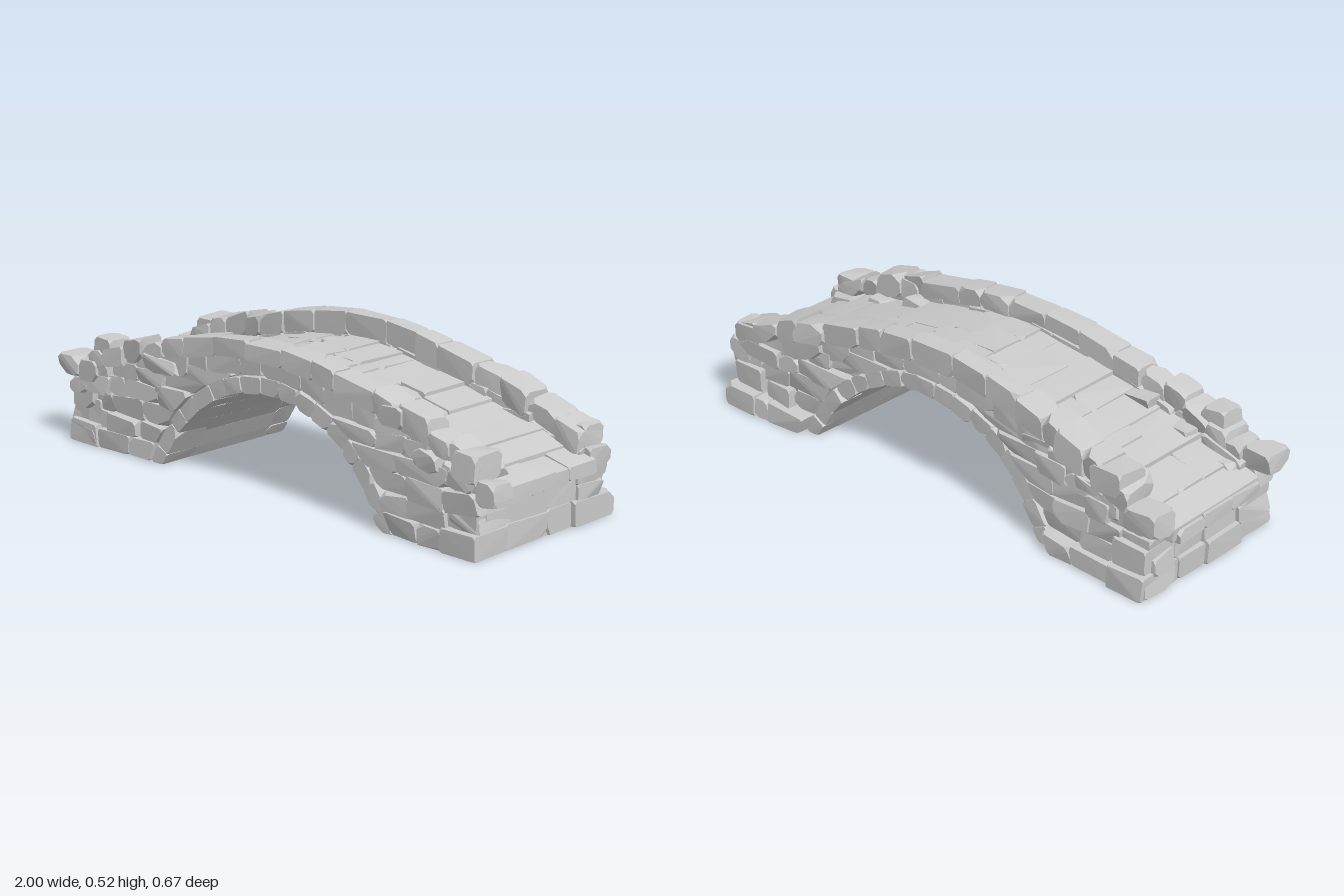
import * as THREE from 'three';
import { mergeGeometries } from 'three/addons/utils/BufferGeometryUtils.js';
import { ConvexGeometry } from 'three/addons/geometries/ConvexGeometry.js';

// Arch circle: centre, inner and outer radius
const CX = 0.03, CY = -0.205, RI = 0.54, RO = 0.6;

let seed = 7;
const rand = () => {
  seed = (seed * 16807) % 2147483647;
  return seed / 2147483647;
};
const jitter = (a) => (rand() - 0.5) * 2 * a;
const { clamp, smoothstep } = THREE.MathUtils;

// Walking surface height, its inverse, the arch's outer curve and the two wall planes
const deckY = (x) => 0.437 - 0.227 * Math.pow(Math.abs(x) / 0.97, 1.6);
const deckX = (y) => 0.97 * Math.pow(Math.max(0, 0.437 - y) / 0.227, 1 / 1.6);
const extradosX = (y) => Math.sqrt(Math.max(0, RO * RO - (y - CY) ** 2));
const extradosY = (x) => CY + Math.sqrt(Math.max(0, RO * RO - (x - CX) ** 2));
const wallZ = (s, x) => {
  const t = smoothstep(Math.abs(x), 0.25, 0.75);
  return s > 0 ? 0.293 + 0.02 * t : -(0.243 + 0.035 * t);
};

// A rough stone: a four-cornered xy outline swept from z0 to z1, every corner chipped
function stone(quad, z0, z1, chip = 0.008, rough = 0.004) {
  const corners = [z0, z1].map((z) => quad.map(([x, y]) =>
    new THREE.Vector3(x + jitter(rough), y + jitter(rough), z + jitter(rough))));
  const points = [];
  for (let k = 0; k < 2; k++) {
    for (let i = 0; i < 4; i++) {
      const c = corners[k][i];
      const big = rand() < 0.15 ? 3 : 1;
      for (const n of [corners[k][(i + 1) % 4], corners[k][(i + 3) % 4], corners[1 - k][i]]) {
        const len = c.distanceTo(n);
        const cut = Math.min(chip * big * (0.5 + rand()), len * 0.4);
        const p = c.clone().lerp(n, cut / len);
        points.push(p.set(clamp(p.x, -1, 1), Math.max(0, p.y), clamp(p.z, -0.336, 0.336)));
      }
    }
  }
  return new ConvexGeometry(points);
}
const rect = (x0, x1, y0, y1) => [[x0, y0], [x1, y0], [x1, y1], [x0, y1]];

// Uneven divisions of a length into pieces of about the given size
function splits(a, b, size, uneven = 0.25) {
  const n = Math.max(1, Math.round(Math.abs(b - a) / size));
  return Array.from({ length: n + 1 }, (_, i) =>
    a + ((b - a) * (i + (i > 0 && i < n ? jitter(uneven) : 0))) / n);
}

// Solid core behind the stones
function core() {
  const s = new THREE.Shape();
  const r = RI + 0.012, a = Math.acos(-CY / r);
  s.moveTo(-0.92, 0);
  for (let i = 0; i <= 24; i++) {
    const x = -0.92 + (1.85 * i) / 24;
    s.lineTo(x, deckY(x) - 0.03);
  }
  s.lineTo(0.93, 0);
  for (let i = 0; i <= 24; i++) {
    const t = a - (2 * a * i) / 24;
    s.lineTo(CX + r * Math.sin(t), Math.max(0, CY + r * Math.cos(t)));
  }
  const g = new THREE.ExtrudeGeometry(s, { depth: 0.49, bevelEnabled: false });
  return g.translate(0, 0, -0.22);
}

// One ring of wedge stones; outerZ gives the outer face from a stone's x
function archRing(out, n, r0, r1, z0, outerZ, chip) {
  const edge = (70 * Math.PI) / 180;
  const at = (r, t) => [CX + r * Math.sin(t), Math.max(0, CY + r * Math.cos(t))];
  const cuts = splits(-edge, edge, (2 * edge) / n, 0.15);
  for (let i = 0; i < n; i++) {
    const [a, b] = [cuts[i], cuts[i + 1]];
    const z1 = outerZ(at(r1, (a + b) / 2)[0]);
    out.push(stone([at(r0, a), at(r0, b), at(r1, b), at(r1, a)], z0, z1, chip, chip / 4));
  }
}

export function createModel() {
  const group = new THREE.Group();
  const material = new THREE.MeshStandardMaterial({ color: 0xcccccc, flatShading: true });
  const add = (name, geometries) => {
    const mesh = new THREE.Mesh(mergeGeometries(geometries), material);
    mesh.name = name;
    group.add(mesh);
  };
  add('core', [core()]);

  // Face voussoirs and the vault lining between them
  const voussoirs = [], lining = [];
  for (const s of [1, -1]) {
    archRing(voussoirs, 17, RI, RO - 0.004, s * 0.17, (x) => wallZ(s, x) + s * (0.006 + jitter(0.005)), 0.008);
  }
  for (let k = 0; k < 2; k++) {
    archRing(lining, 18, RI + 0.001, RI + 0.04, -0.18 + k * 0.18, () => k * 0.18, 0.001);
  }
  add('archVoussoirs', voussoirs);
  add('vaultLining', lining);

  // Coursed wall stones between arch and deck, on both faces and both sides
  const wall = [];
  const rows = [0, 0.065, 0.13, 0.2, 0.265, 0.32, 0.37];
  for (const face of [1, -1]) for (const side of [1, -1]) {
    const footing = face > 0 ? 0.014 : side > 0 ? 0.045 : 0.028;
    for (let r = 0; r < rows.length - 1; r++) {
      const y0 = rows[r], y1 = rows[r + 1];
      const [in0, in1] = [y0, y1].map((y) => CX + side * (extradosX(y) + 0.004));
      const outer = side * Math.min(0.935 + jitter(0.015), deckX((y0 + y1) / 2));
      // Upright joints; only the stone against the arch has a slanted edge
      const cuts = splits(in0, outer, 0.125, 0.3);
      for (let i = 0; i < cuts.length - 1; i++) {
        const [a, b] = [cuts[i], cuts[i + 1]];
        const lean = jitter(0.014);
        const bulge = r === 0 ? footing : jitter(0.015);
        wall.push(stone([[a, y0], [b, y0], [b + lean, y1], [i ? a + lean : in1, y1]],
          face * 0.16, wallZ(face, (a + b) / 2) + face * bulge, 0.011, 0.009));
      }
    }
  }
  add('spandrelStones', wall);

  // End faces, one course above another
  const ends = [];
  for (const side of [1, -1]) {
    for (const [y0, y1, x, za, zb] of [
      [0, 0.08, 0.945, side > 0 ? -0.334 : -0.315, 0.334], [0.08, 0.165, 0.935, -0.295, 0.308], [0.165, 0.212, 0.965, -0.18, 0.22],
    ]) {
      const cuts = splits(za, zb, 0.15);
      for (let i = 0; i < cuts.length - 1; i++) {
        const out = side * (x + jitter(0.01));
        ends.push(stone(rect(Math.min(side * 0.8, out), Math.max(side * 0.8, out), y0, y1),
          cuts[i], cuts[i + 1], 0.009, 0.004));
      }
    }
  }
  add('endStones', ends);

  // Deck slabs, stepping up towards the crown, with one loose six-sided cobble
  const deck = [];
  const slabs = splits(-0.96, 0.975, 0.1);
  for (let i = 0; i < slabs.length - 1; i++) {
    const [a, b] = [slabs[i], slabs[i + 1]];
    const tilt = (deckY(b) - deckY(a)) * 0.38;
    const cuts = splits(-0.2, 0.23, [0.42, 0.21, 0.42, 0.14][Math.floor(rand() * 4)]);
    for (let k = 0; k < cuts.length - 1; k++) {
      const y = deckY((a + b) / 2) + jitter(0.005);
      deck.push(stone([[a, y - 0.06], [b, y - 0.06], [b, y + tilt], [a, y - tilt]],
        cuts[k], cuts[k + 1], 0.007, 0.003));
    }
  }
  add('deckSlabs', deck);
  add('cobble', [new THREE.CylinderGeometry(0.03, 0.045, 0.03, 6).translate(-0.065, 0.425, -0.09)]);

  // Parapets: a thin string course with a row of coping stones on top
  const string = [], coping = [];
  for (const face of [1, -1]) {
    const inside = (x) => (face > 0 ? 0.208 : -0.182 + 0.02 * smoothstep(Math.abs(x), 0.1, 0.4));
    const height = (x) => (face > 0 ? 0.058 + 0.02 * Math.min(1, Math.abs(x) / 0.5) : 0.085);
    const course = (out, cuts, lo, hi, bulge) => {
      for (let i = 0; i < cuts.length - 1; i++) {
        const [a, b] = [cuts[i], cuts[i + 1]];
        const mid = (a + b) / 2;
        const wild = Math.abs(mid) > 0.5 ? 1 : 0.3;
        const up = jitter(0.016) * wild;
        const z = wallZ(face, mid) + face * (bulge + jitter(0.012) * wild);
        const zi = inside(mid) + jitter(0.014) * wild;
        out.push(stone([[a, lo(a)], [b, lo(b)], [b, hi(b) + up], [a, hi(a) + up]],
          zi, z, 0.007 + 0.009 * wild, 0.002 + 0.007 * wild));
      }
    };
    course(string, splits(-0.9, 0.93, 0.13),
      (x) => Math.max(deckY(x) - 0.055, Math.min(extradosY(x), deckY(x) - 0.03)), (x) => deckY(x) + 0.01, -0.002);
    course(coping, [...splits(-0.84, -0.48, 0.1), ...splits(-0.48, 0.5, 0.15).slice(1), ...splits(0.5, 0.93, 0.1).slice(1)],
      (x) => deckY(x) + 0.006, (x) => deckY(x) + height(x), 0.006);
  }
  add('stringCourse', string);
  add('parapetCoping', coping);

  // Large loose blocks closing the parapet ends: x0, x1, y0, y1, z0, z1
  const blocks = [
    [-1, -0.89, 0.235, 0.31, 0.225, 0.325], [-0.89, -0.79, 0.225, 0.305, 0.21, 0.328],
    [-0.95, -0.85, 0.18, 0.235, 0.225, 0.325], [-0.82, -0.73, 0.31, 0.39, 0.22, 0.315],
    [-0.96, -0.84, 0.21, 0.29, -0.29, -0.19], [-0.82, -0.7, 0.3, 0.38, -0.285, -0.17],
    [0.93, 1, 0.175, 0.245, 0.235, 0.32], [0.84, 0.93, 0.24, 0.32, 0.215, 0.32],
    [0.87, 0.965, 0.17, 0.24, -0.285, -0.195], [0.81, 0.93, 0.235, 0.315, -0.285, -0.19],
    [0.53, 0.63, 0.34, 0.41, 0.21, 0.315],
  ].map(([x0, x1, y0, y1, z0, z1]) => stone(rect(x0, x1, y0, y1), z0, z1, 0.016, 0.008));
  add('parapetEndBlocks', blocks);

  return group;
}
